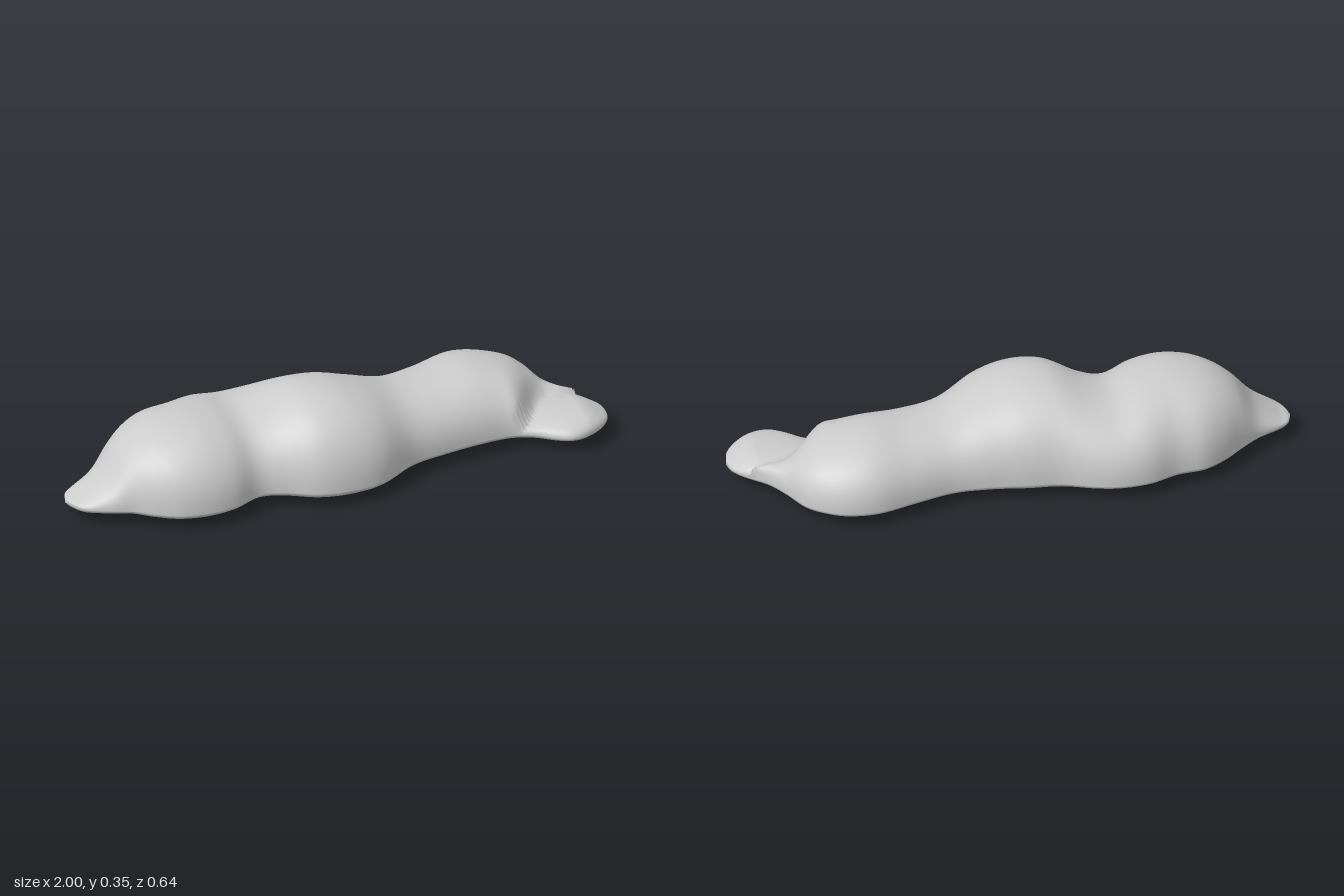
import * as THREE from 'three';

// Stations along the body: x, back z, front z, top y, bottom y
const STATIONS = [
  [-1, 0.035, 0.035, 0.066, 0.055], [-0.985, -0.01, 0.085, 0.075, 0.045],
  [-0.95, -0.04, 0.13, 0.09, 0.036], [-0.87, -0.08, 0.168, 0.145, 0.03],
  [-0.8, -0.135, 0.195, 0.23, 0.025], [-0.73, -0.195, 0.245, 0.278, 0.016],
  [-0.65, -0.24, 0.285, 0.305, 0.008], [-0.55, -0.255, 0.298, 0.315, 0.004],
  [-0.45, -0.295, 0.283, 0.306, 0.007], [-0.35, -0.307, 0.237, 0.285, 0.012],
  [-0.26, -0.293, 0.25, 0.3, 0.009], [-0.14, -0.255, 0.305, 0.342, 0.003],
  [-0.02, -0.245, 0.317, 0.343, 0], [0.1, -0.233, 0.292, 0.31, 0.006],
  [0.24, -0.236, 0.205, 0.258, 0.014], [0.38, -0.275, 0.168, 0.25, 0.014],
  [0.52, -0.318, 0.145, 0.262, 0.014], [0.63, -0.315, 0.14, 0.247, 0.015],
  [0.71, -0.283, 0.168, 0.222, 0.018], [0.77, -0.235, 0.212, 0.182, 0.021],
  [0.82, -0.15, 0.236, 0.138, 0.024], [0.87, -0.08, 0.232, 0.122, 0.027],
  [0.925, -0.035, 0.205, 0.108, 0.032], [0.965, 0, 0.17, 0.09, 0.038],
  [0.99, 0.035, 0.13, 0.077, 0.046], [1, 0.08, 0.08, 0.066, 0.055],
];
const RIM = 0.065; // height of the widest line
const RINGS = 150, SIDES = 72;

// Rounded dome over the span a..b
function dome(z, a, b, height, power) {
  const u = Math.abs((2 * z - a - b) / Math.max(b - a, 1e-6));
  return u >= 1 ? 0 : height * Math.pow(1 - Math.pow(u, power), 1 / power);
}

function curveOf(a, b) {
  const points = STATIONS.map((s) => new THREE.Vector3(s[0], s[a], s[b]));
  return new THREE.CatmullRomCurve3(points, false, 'catmullrom', 0.5);
}

function bodyGeometry() {
  const outline = curveOf(1, 2), heights = curveOf(3, 4);
  const positions = [], index = [];
  for (let i = 0; i <= RINGS; i++) {
    const { x, y: back, z: front } = outline.getPoint(i / RINGS);
    const { y: top, z: bottom } = heights.getPoint(i / RINGS);
    // The tall part draws back at the +x end and leaves a low front lobe
    const tallFront = front - 0.24 * THREE.MathUtils.smoothstep(x, 0.64, 0.82);
    const rise = Math.max(top - RIM, 0);
    const low = Math.min(rise, 0.05);
    for (let j = 0; j < SIDES; j++) {
      const angle = (j / SIDES) * Math.PI * 2;
      const z = (back + front) / 2 + ((front - back) / 2) * Math.cos(angle);
      let y = RIM;
      if (Math.sin(angle) >= 0) {
        y += Math.max(dome(z, back, tallFront, rise, 2.3), dome(z, back, front, low, 2.3));
      } else {
        y -= dome(z, back, front, RIM - bottom, 2);
      }
      positions.push(x, y, z);
    }
  }
  for (let i = 0; i < RINGS; i++) {
    for (let j = 0; j < SIDES; j++) {
      const k = (j + 1) % SIDES;
      const a = i * SIDES + j, b = i * SIDES + k;
      index.push(a, a + SIDES, b, b, a + SIDES, b + SIDES);
    }
  }
  const geometry = new THREE.BufferGeometry();
  geometry.setAttribute('position', new THREE.Float32BufferAttribute(positions, 3));
  geometry.setIndex(index);
  geometry.computeVertexNormals();
  return geometry;
}

export function createModel() {
  const group = new THREE.Group();
  group.name = 'cloud';
  const paleGrey = new THREE.MeshStandardMaterial({ color: 0xcccccc });
  paleGrey.name = 'pale grey';
  const body = new THREE.Mesh(bodyGeometry(), paleGrey);
  body.name = 'cloudBody';
  group.add(body);
  return group;
}
